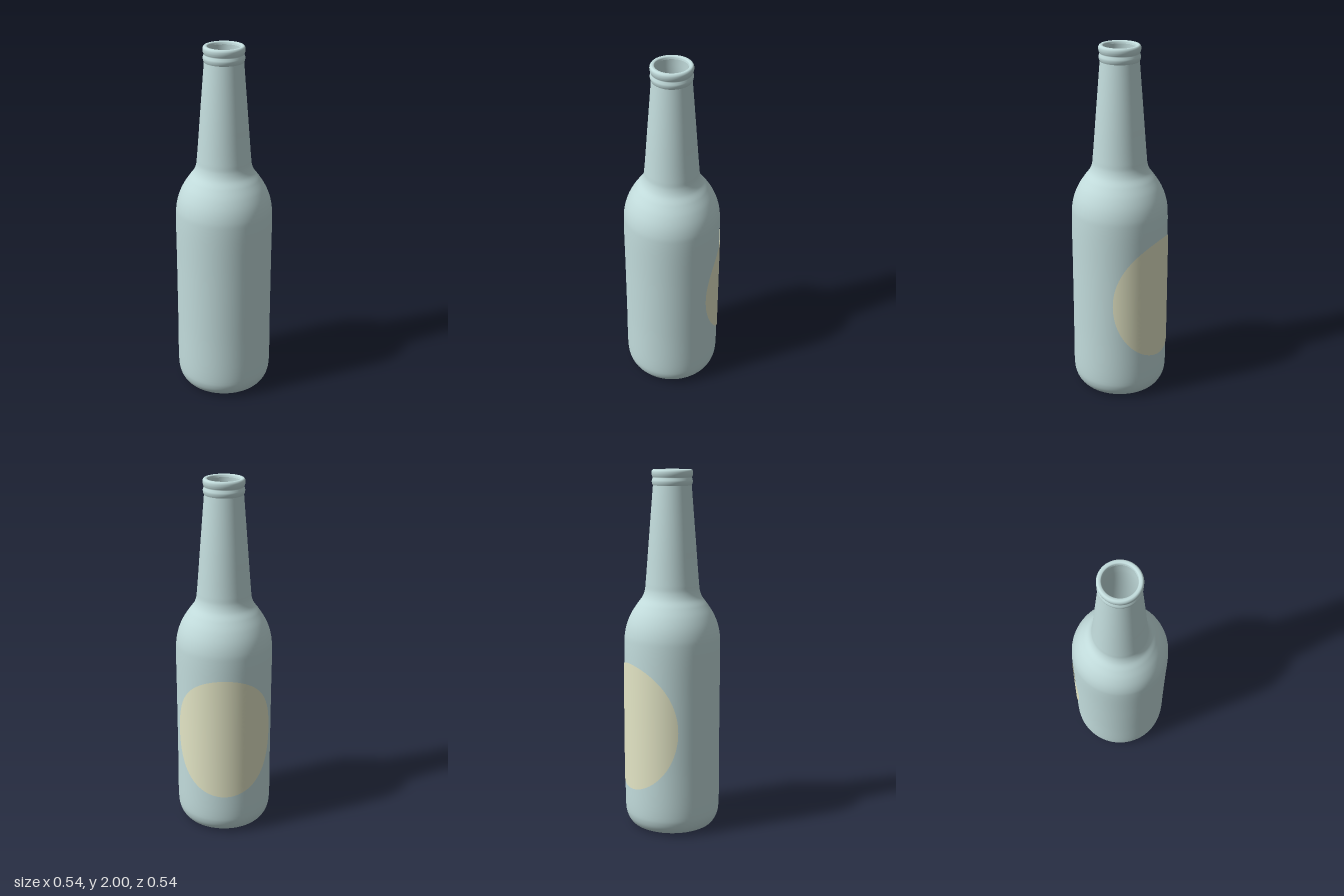
import * as THREE from 'three';

const SEGMENTS = 96;
const LABEL_RADIUS = 0.272;

const glass = new THREE.MeshStandardMaterial({ color: 0xc2dcdc });
const cream = new THREE.MeshStandardMaterial({ color: 0xe4e6c6, side: THREE.DoubleSide });

// Smooth profile through [radius, height] points
function profile(points, samples) {
  const curve = new THREE.CatmullRomCurve3(points.map(([r, y]) => new THREE.Vector3(r, y, 0)), false, 'centripetal');
  return curve.getPoints(samples).map((p) => new THREE.Vector2(Math.max(p.x, 0), p.y));
}

function lathe(name, points, material) {
  const mesh = new THREE.Mesh(new THREE.LatheGeometry(points, SEGMENTS), material);
  mesh.name = name;
  return mesh;
}

// Oval label wrapped round the body: a unit disc bent onto a cylinder
function makeLabel() {
  const centre = THREE.MathUtils.degToRad(39), half = THREE.MathUtils.degToRad(67);
  const geometry = new THREE.RingGeometry(0.0005, 1, 96, 20);
  const pos = geometry.attributes.position, normal = geometry.attributes.normal;
  for (let i = 0; i < pos.count; i++) {
    const angle = centre + half * pos.getX(i);
    const c = Math.cos(angle), s = -Math.sin(angle);
    pos.setXYZ(i, LABEL_RADIUS * c, 0.603 + 0.358 * pos.getY(i), LABEL_RADIUS * s);
    normal.setXYZ(i, c, 0, s);
  }
  const mesh = new THREE.Mesh(geometry, cream);
  mesh.name = 'label';
  return mesh;
}

export function createModel() {
  const bottle = new THREE.Group();
  bottle.name = 'bottle';

  // Outer wall: rounded heel, straight body, shoulder and tapering neck
  bottle.add(lathe('body', profile([
    [0.205, 0], [0.23, 0.012], [0.25, 0.038], [0.262, 0.07], [0.267, 0.11],
    [0.267, 0.4], [0.267, 0.75], [0.267, 1.05], [0.263, 1.11], [0.25, 1.165],
    [0.226, 1.22], [0.194, 1.27], [0.165, 1.31], [0.152, 1.345], [0.147, 1.39],
    [0.127, 1.64], [0.105, 1.915],
  ], 160), glass));

  // Mouth: lower bead, groove and rolled lip
  bottle.add(lathe('lip', profile([
    [0.105, 1.915], [0.109, 1.925], [0.111, 1.938], [0.108, 1.95], [0.106, 1.957],
    [0.109, 1.965], [0.112, 1.978], [0.111, 1.991], [0.105, 1.999],
    [0.097, 2], [0.089, 1.997], [0.085, 1.985],
  ], 66), glass));

  // Inner wall
  bottle.add(lathe('innerWall', profile([
    [0.085, 1.985], [0.087, 1.9], [0.108, 1.64], [0.127, 1.4], [0.134, 1.34],
    [0.172, 1.27], [0.228, 1.165], [0.246, 1.05], [0.246, 0.5], [0.246, 0.1], [0.2, 0.04],
  ], 60), glass));

  // Slightly hollow underside
  bottle.add(lathe('base', profile([[0, 0.022], [0.1, 0.018], [0.17, 0.009], [0.205, 0]], 16), glass));

  // Liquid surface with a shallow dip
  bottle.add(lathe('liquid', profile([[0.118, 1.504], [0.11, 1.5], [0.05, 1.497], [0, 1.496]], 12), cream));

  bottle.add(makeLabel());

  // The label's thickness shifts the glass off the centre line
  bottle.position.set(-0.0025, 0, 0.0025);
  const model = new THREE.Group();
  model.name = 'labelledBottle';
  model.add(bottle);
  return model;
}
